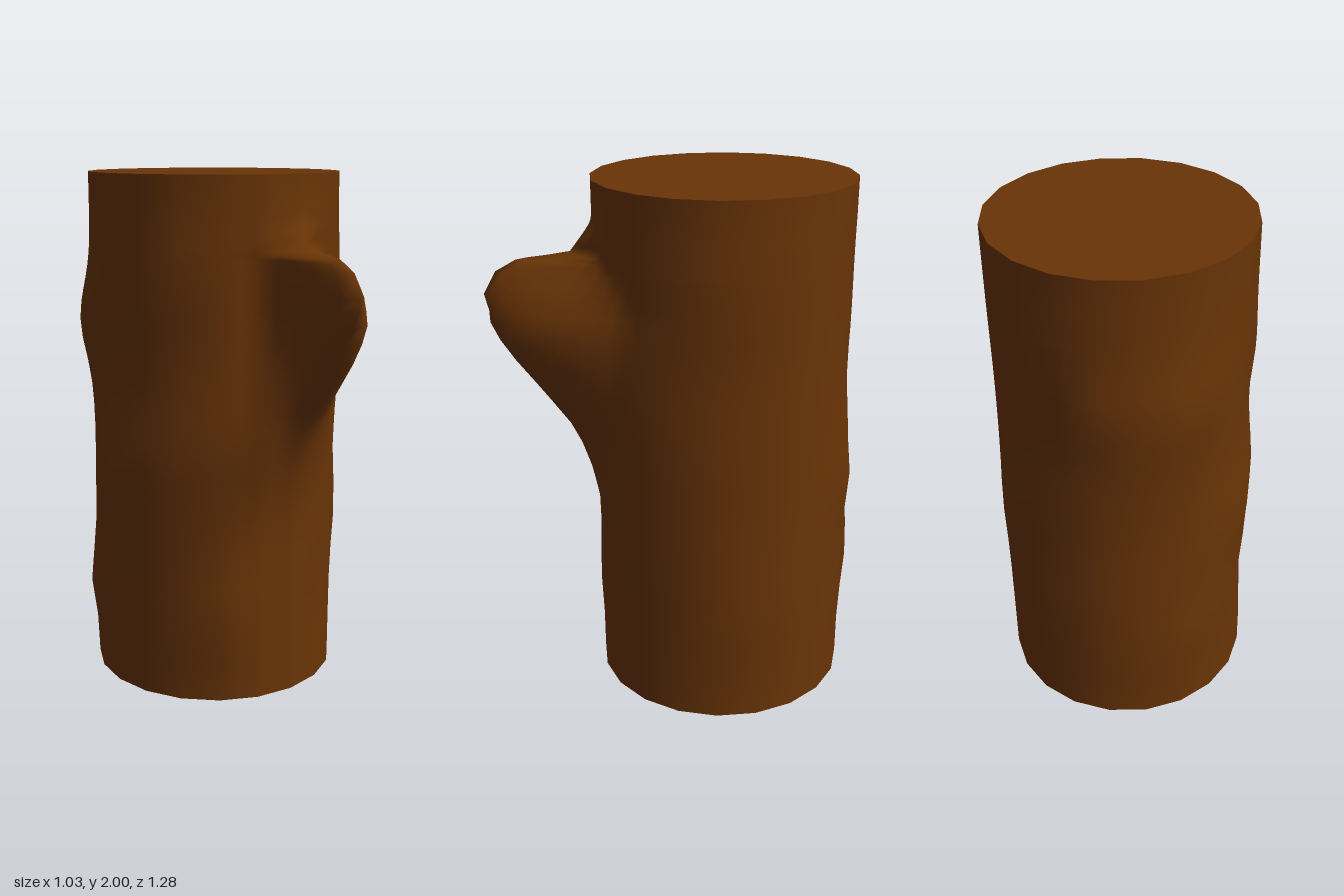
import * as THREE from 'three';

const R = 0.488, CZ = -0.122, SIDES = 20, STEP = 360 / SIDES;
const rad = THREE.MathUtils.degToRad;
const wrap = (a) => ((a + 540) % 360) - 180;

// Swellings and hollows in the bark: [angle in degrees from +z, height, depth, angular spread, vertical spread, slant]
const BUMPS = [
  [0, 0.3, 0.045, 13, 0.16, 30], [-90, 1.43, 0.045, 14, 0.2, 30], [-90, 0.33, 0.027, 14, 0.17, 30],
  [180, 0.88, 0.032, 14, 0.2, 30], [-54, 0.88, 0.04, 14, 0.2, 40], [-126, 1.45, 0.04, 12, 0.17, 30],
  [-22, 1.6, 0.022, 12, 0.22, 40], [-16, 0.95, 0.022, 12, 0.22, 45], [-162, 0.5, 0.02, 12, 0.22, 30],
  [126, 0.4, 0.022, 12, 0.2, 30], [98, 1.68, 0.014, 12, 0.2, 30], [86, 0.6, 0.014, 11, 0.24, 40],
  [14, 0.98, 0.03, 15, 0.18, 20], [-108, 0.85, -0.02, 12, 0.2, 30], [112, 1.35, -0.022, 13, 0.22, 30],
  [-150, 1.35, -0.022, 11, 0.2, 30], [180, 1.5, -0.016, 14, 0.3, 20], [-40, 1.3, -0.016, 12, 0.2, 40],
  [62, 0.35, -0.016, 12, 0.2, 30], [-36, 0.4, -0.014, 12, 0.2, 40],
];

// Branch stub: [height, reach beyond trunk, centre angle, spread to each side]
const STUB = [
  [0.75, 0, 33, 18, 20], [0.95, 0.04, 33, 17, 21], [1.07, 0.09, 33, 16, 21], [1.17, 0.165, 33, 13, 21],
  [1.35, 0.3, 33, 8.5, 20], [1.48, 0.385, 32, 6.5, 19], [1.6, 0.4, 31, 6, 14], [1.68, 0.355, 31, 6, 10],
  [1.72, 0.28, 31, 6.5, 9], [1.735, 0.09, 31, 9, 10], [1.81, 0.04, 36, 11, 11], [1.86, 0, 36, 11, 11],
];

function stubAt(y) {
  const i = STUB.findIndex((s) => s[0] >= y);
  if (i < 1) return [0, 33, 10, 10];
  const a = STUB[i - 1], b = STUB[i], t = (y - a[0]) / (b[0] - a[0]);
  return a.slice(1).map((v, k) => v + (b[k + 1] - v) * t);
}

function radiusAt(angle, y) {
  // Straight-sided outline of the trunk
  const inSide = ((angle % STEP) + STEP) % STEP - STEP / 2;
  let r = R * Math.cos(rad(STEP / 2)) / Math.cos(rad(inSide));
  // Bark, fading to a clean rim at both ends
  const fade = THREE.MathUtils.smoothstep(Math.min(y, 2 - y), 0, 0.25);
  for (const [a, h, depth, wa, wy, slant] of BUMPS) {
    const dy = y - h, da = wrap(angle - a - slant * dy);
    r += fade * depth * Math.exp(-((da / wa) ** 2) - (dy / wy) ** 2);
  }
  // Branch stub, narrow at its tip and flared into the trunk
  const [reach, centre, left, right] = stubAt(y);
  const d = wrap(angle - centre);
  return r + reach * Math.exp(-Math.pow(Math.abs(d) / (d < 0 ? left : right), 1.6));
}

// Side wall: rings of vertices, with extra columns around the stub
function barkGeometry() {
  const angles = Array.from({ length: SIDES }, (_, i) => i * STEP);
  angles.push(9, 14, 22, 25, 27, 29, 31, 33, 39, 43, 48, 60, 66);
  angles.sort((a, b) => a - b);
  const rows = [0, 0.16, 0.32, 0.46, 0.6, 0.75, 0.9, 1.0, 1.09, 1.17, 1.26, 1.35, 1.43, 1.5,
    1.55, 1.6, 1.64, 1.68, 1.705, 1.72, 1.735, 1.77, 1.81, 1.86, 2];
  const pos = [], index = [], n = angles.length;
  for (const y of rows) {
    for (const a of angles) {
      const r = radiusAt(a, y);
      pos.push(r * Math.sin(rad(a)), y, CZ + r * Math.cos(rad(a)));
    }
  }
  for (let j = 0; j < rows.length - 1; j++) {
    for (let i = 0; i < n; i++) {
      const a = j * n + i, b = j * n + (i + 1) % n;
      index.push(a, b, b + n, a, b + n, a + n);
    }
  }
  const g = new THREE.BufferGeometry();
  g.setAttribute('position', new THREE.Float32BufferAttribute(pos, 3));
  g.setIndex(index);
  g.computeVertexNormals();
  return g;
}

export function createModel() {
  const group = new THREE.Group();
  group.name = 'log';
  const wood = new THREE.MeshStandardMaterial({ color: 0x693406 });

  const bark = new THREE.Mesh(barkGeometry(), wood);
  bark.name = 'barkWithBranchStub';
  group.add(bark);

  // Flat sawn ends
  for (const [name, y, tilt] of [['topCut', 2, -1], ['bottomCut', 0, 1]]) {
    const cut = new THREE.Mesh(new THREE.CircleGeometry(R, SIDES), wood);
    cut.name = name;
    cut.rotation.x = tilt * Math.PI / 2;
    cut.position.set(0, y, CZ);
    group.add(cut);
  }
  return group;
}
